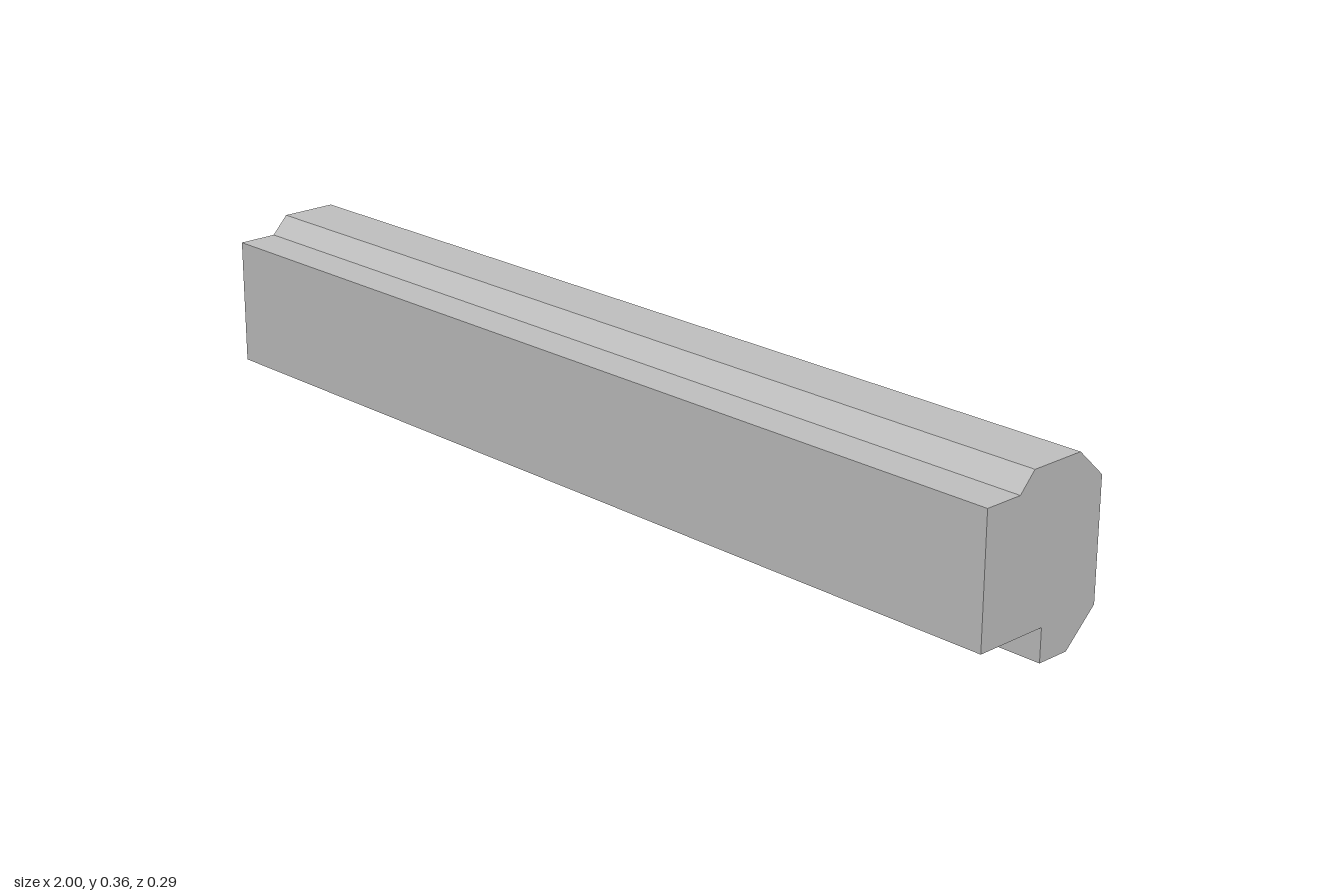
import * as THREE from 'three';

export function createModel() {
  const group = new THREE.Group();
  group.name = 'profiledBeam';
  const grey = new THREE.MeshStandardMaterial({ color: 0xc0c0c0 });
  grey.name = 'grey';

  // Cross-section as [z, y], counter-clockwise seen from the +x end
  const section = [
    [0.147, 0.065], [-0.007, 0.065], [-0.007, 0], [-0.076, 0], [-0.146, 0.065],
    [-0.146, 0.3], [-0.085, 0.356], [0.032, 0.356], [0.066, 0.32], [0.147, 0.32],
  ];
  const shape = new THREE.Shape(section.map(([z, y]) => new THREE.Vector2(-z, y)));

  // Extrude the section along the full length, then lay it along x
  const geometry = new THREE.ExtrudeGeometry(shape, { depth: 2, bevelEnabled: false });
  geometry.translate(0, 0, -1);
  geometry.rotateY(Math.PI / 2);

  const beam = new THREE.Mesh(geometry, grey);
  beam.name = 'beam';
  group.add(beam);
  return group;
}
